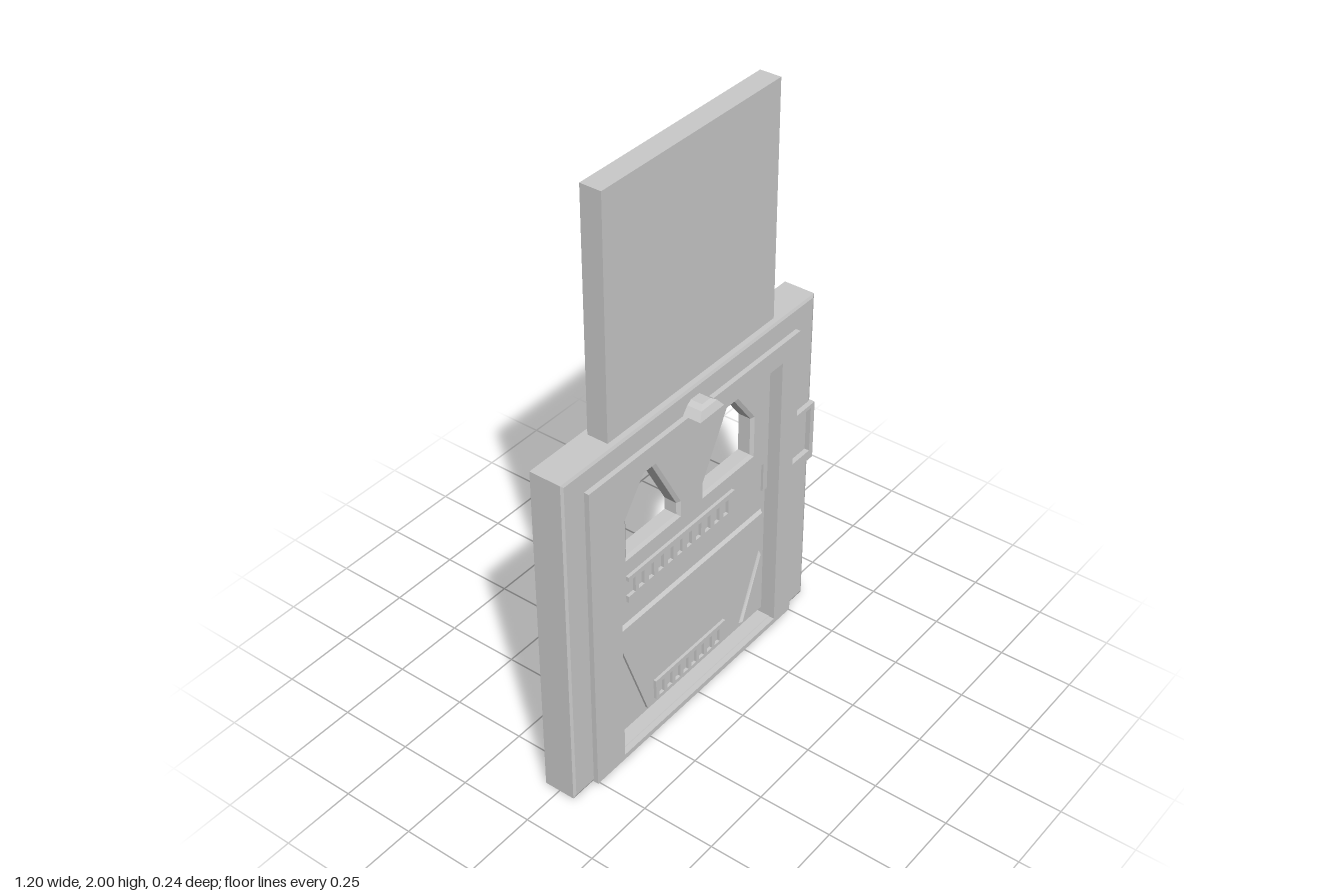
import * as THREE from 'three';
import { ConvexGeometry } from 'three/addons/geometries/ConvexGeometry.js';

const metal = new THREE.MeshStandardMaterial({ color: 0xcacaca });
metal.name = 'light grey metal';

const rect = (x0, y0, x1, y1) => [[x0, y0], [x1, y0], [x1, y1], [x0, y1]];
const toPath = (pts, Type) => new Type(pts.map(([x, y]) => new THREE.Vector2(x, y)));

export function createModel() {
  const group = new THREE.Group();

  const add = (name, geometry) => {
    const mesh = new THREE.Mesh(geometry, metal);
    mesh.name = name;
    group.add(mesh);
  };

  // Plate centred on z = 0, reaching z = +-half, with an optional chamfer [width, depth]
  const plate = (name, outline, half, holes = [], [width, depth] = [0, 0]) => {
    const shape = toPath(outline, THREE.Shape);
    shape.holes = holes.map((h) => toPath(h, THREE.Path));
    const geometry = new THREE.ExtrudeGeometry(shape, {
      depth: 2 * (half - depth), bevelEnabled: width > 0,
      bevelSize: width, bevelThickness: depth, bevelSegments: 1,
    });
    geometry.translate(0, 0, depth - half);
    add(name, geometry);
  };

  // Convex solid from points repeated at +z and -z
  const solid = (name, pts) => add(name, new ConvexGeometry(
    pts.flatMap(([x, y, z]) => [new THREE.Vector3(x, y, z), new THREE.Vector3(x, y, -z)])));

  // Outer frame with shallow chamfered rim
  plate('outerFrame', rect(-0.59, 0.01, 0.59, 1.19), 0.058,
    [rect(-0.42, 0.012, 0.45, 1.08)], [0.01, 0.004]);

  // Raised inner surround with the lock housing and its pocket
  plate('innerSurround', [
    [-0.507, 0], [0.503, 0], [0.503, 0.585], [0.6, 0.585],
    [0.6, 0.802], [0.503, 0.802], [0.503, 1.122], [-0.507, 1.122],
  ], 0.075, [rect(-0.375, 0.019, 0.414, 1.05), rect(0.487, 0.62, 0.58, 0.788)]);

  // Sloped wall inside the lock pocket
  solid('lockPocketSlope', [0.62, 0.788].flatMap((y) => [[0.487, y, 0.075], [0.507, y, 0.057]]));

  // Raised slab above the frame
  plate('raisedSlab', rect(-0.375, 1.1, 0.414, 2), 0.036);

  // Upper door with two pointed windows, mirrored about the door centre
  const cx = 0.0185;
  const mirror = (pts) => pts.map(([x, y]) => [2 * cx - x, y]).reverse();
  const win = [[-0.3, 0.722], [-0.3, 0.875], [-0.195, 1.015], [-0.165, 1.015], [-0.035, 0.78], [-0.035, 0.722]];
  plate('windowDoorPanel', rect(-0.375, 0.7, 0.414, 1.05), 0.03, [win, mirror(win)], [0.012, 0.008]);

  // Door middle band with a square notch
  plate('doorBand', [
    [-0.375, 0.55], [0.26, 0.55], [0.26, 0.66], [0.392, 0.66], [0.392, 0.55], [0.414, 0.55],
    [0.414, 0.7], [-0.375, 0.7],
  ], 0.03);

  // Thinner lower door, also backing the notch
  plate('lowerDoor', rect(-0.375, 0.044, 0.414, 0.67), 0.022);

  // Tapered lower panel with a sloped top edge
  solid('taperedPanel', [
    [-0.205, 0.06, 0.031], [0.232, 0.06, 0.031], [0.39, 0.464, 0.031], [-0.353, 0.464, 0.031],
    [0.394, 0.475, 0.022], [-0.357, 0.475, 0.022],
  ]);

  // Chamfered corner gussets
  const gusset = [[-0.35, 0.067], [-0.257, 0.067], [-0.35, 0.295]];
  plate('rightGusset', gusset, 0.033, [], [0.006, 0.009]);
  plate('leftGusset', mirror(gusset), 0.033, [], [0.006, 0.009]);

  // Slotted grilles
  const slots = (n, x0, pitch, width, y0, y1) =>
    Array.from({ length: n }, (_, i) => rect(x0 + i * pitch, y0, x0 + i * pitch + width, y1));
  plate('upperGrille', [
    [-0.3, 0.568], [0.224, 0.568], [0.224, 0.666], [-0.3, 0.666],
    [-0.3, 0.65], [-0.268, 0.65], [-0.268, 0.592], [-0.3, 0.592],
  ], 0.041, slots(10, -0.252, 0.0465, 0.026, 0.594, 0.647));
  plate('lowerGrille', rect(-0.175, 0.082, 0.186, 0.157), 0.041,
    slots(8, -0.16, 0.0415, 0.026, 0.088, 0.14));

  // Hipped lamp passing through the lintel
  solid('lintelLamp', [[0.057, 1.124, 0.12], [0.037, 1.149, 0.109], [0.02, 1.16, 0.098]]
    .flatMap(([x, y, z]) => [[x - 0.004, y, z], [-x - 0.004, y, z]]));

  return group;
}
